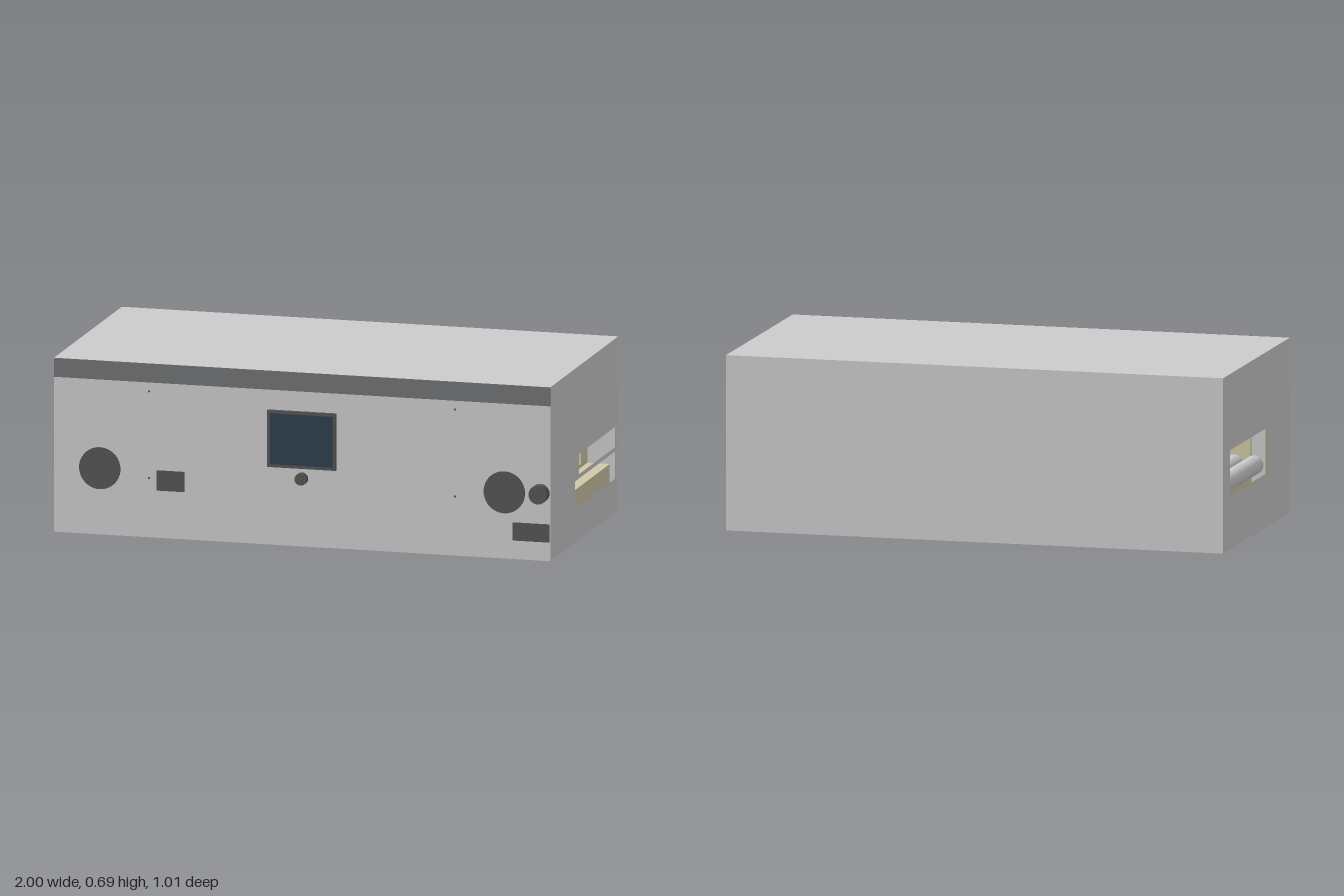
import * as THREE from 'three';

const mat = (color) => new THREE.MeshStandardMaterial({ color });
const grey = mat(0xcccccc);
const dark = mat(0x555555);
const band = mat(0x707274);
const glass = mat(0x2e3e4c);
const beige = mat(0xd0c8a8);
const brown = mat(0x8a4a28);

const BACK = -0.505, FRONT = 0.465, TOP = 0.69, T = 0.01;

export function createModel() {
  const model = new THREE.Group();

  const add = (name, geometry, material) => {
    const mesh = new THREE.Mesh(geometry, material);
    mesh.name = name;
    model.add(mesh);
    return mesh;
  };

  // Box given by its limits on each axis
  const box = (name, material, [x0, x1], [y0, y1], [z0, z1]) =>
    add(name, new THREE.BoxGeometry(x1 - x0, y1 - y0, z1 - z0), material)
      .position.set((x0 + x1) / 2, (y0 + y1) / 2, (z0 + z1) / 2);

  // Cylinder along z from z0 to z1
  const rod = (name, material, x, y, r, z0, z1, sides = 40) => {
    const g = new THREE.CylinderGeometry(r, r, z1 - z0, sides).rotateX(Math.PI / 2);
    add(name, g, material).position.set(x, y, (z0 + z1) / 2);
  };

  // Upright panel across x with rectangular openings [z0, z1, y0, y1]
  const rectangle = (path, z0, z1, y0, y1) => path
    .moveTo(-z0, y0).lineTo(-z1, y0).lineTo(-z1, y1).lineTo(-z0, y1).closePath();
  const panel = (name, material, x0, x1, outline, openings) => {
    const shape = new THREE.Shape();
    rectangle(shape, ...outline);
    for (const o of openings) {
      const hole = new THREE.Path();
      rectangle(hole, ...o);
      shape.holes.push(hole);
    }
    const g = new THREE.ExtrudeGeometry(shape, { depth: x1 - x0, bevelEnabled: false });
    add(name, g.rotateY(Math.PI / 2), material).position.x = x0;
  };

  // Housing
  const inner = [-1 + T, 1 - T];
  box('bottomPanel', grey, inner, [0, T], [BACK, FRONT]);
  box('topPanel', grey, inner, [TOP - T, TOP], [BACK, FRONT]);
  box('backPanel', grey, inner, [T, TOP - T], [BACK, BACK + T]);
  box('frontPanel', grey, inner, [T, TOP - T], [FRONT - T, FRONT]);
  box('frontBand', band, [-1, 1], [0.615, TOP], [FRONT, FRONT + 0.003]);
  const side = [BACK, FRONT, 0, TOP];
  const exit = [-0.4, 0.146, 0.205, 0.39];
  panel('slottedSidePanel', grey, 1 - T, 1, side,
    [[-0.49, 0.053, 0.26, 0.34], [-0.502, 0.115, 0.135, 0.243]]);
  panel('openSidePanel', grey, -1, -1 + T, side, [exit]);

  // Insulated tunnel inside
  panel('openSideLining', beige, -1 + T, -0.93, [BACK + T, FRONT - T, T, TOP - T], [exit]);
  box('tunnelBase', beige, [-0.93, 0.97], [0.06, 0.185], [-0.49, 0.053]);
  box('tunnelFloor', beige, [-0.93, 0.88], [0.05, 0.2], [-0.49, 0.16]);
  box('tunnelRoof', beige, [-0.93, 0.9], [0.39, 0.46], [-0.49, 0.16]);
  box('tunnelBackWall', beige, [-0.93, 0.88], [0.2, 0.39], [-0.49, -0.4]);
  box('tunnelFrontWall', beige, [-0.93, 0.88], [0.2, 0.39], [0.146, 0.16]);
  box('heaterPlate', brown, [0.02, 0.88], [0.246, 0.258], [-0.38, 0.05]);

  // Roller bed with thin axle ends
  for (let i = 0; i < 12; i++) {
    const x = -0.95 + i * 0.08;
    rod('roller', grey, x, 0.243, 0.037, -0.38, 0.13, 32);
    rod('rollerAxle', grey, x, 0.243, 0.01, -0.4, 0.145, 16);
  }

  // Front grilles and mounting screws
  for (const s of [-1, 1]) {
    rod('roundGrille', dark, s * 0.815, 0.263, 0.083, FRONT - 0.002, FRONT + 0.004, 48);
    for (const y of [0.235, 0.58]) {
      rod('screw', dark, s * 0.616, y, 0.004, FRONT - 0.002, FRONT + 0.004, 12);
    }
  }

  // Screen, controls and sockets
  box('screenFrame', dark, [-0.138, 0.138], [0.31, 0.536], [FRONT - 0.002, 0.477]);
  box('screenGlass', glass, [-0.125, 0.125], [0.322, 0.524], [0.47, 0.479]);
  rod('selectorKnob', dark, 0, 0.27, 0.024, FRONT - 0.002, 0.49);
  rod('stopButton', dark, 0.96, 0.268, 0.037, FRONT - 0.002, 0.505);
  box('socket', dark, [-0.585, -0.475], [0.188, 0.268], [FRONT - 0.002, FRONT + 0.004]);
  box('powerSwitch', dark, [0.85, 0.996], [0.075, 0.146], [FRONT - 0.002, 0.472]);

  return model;
}
